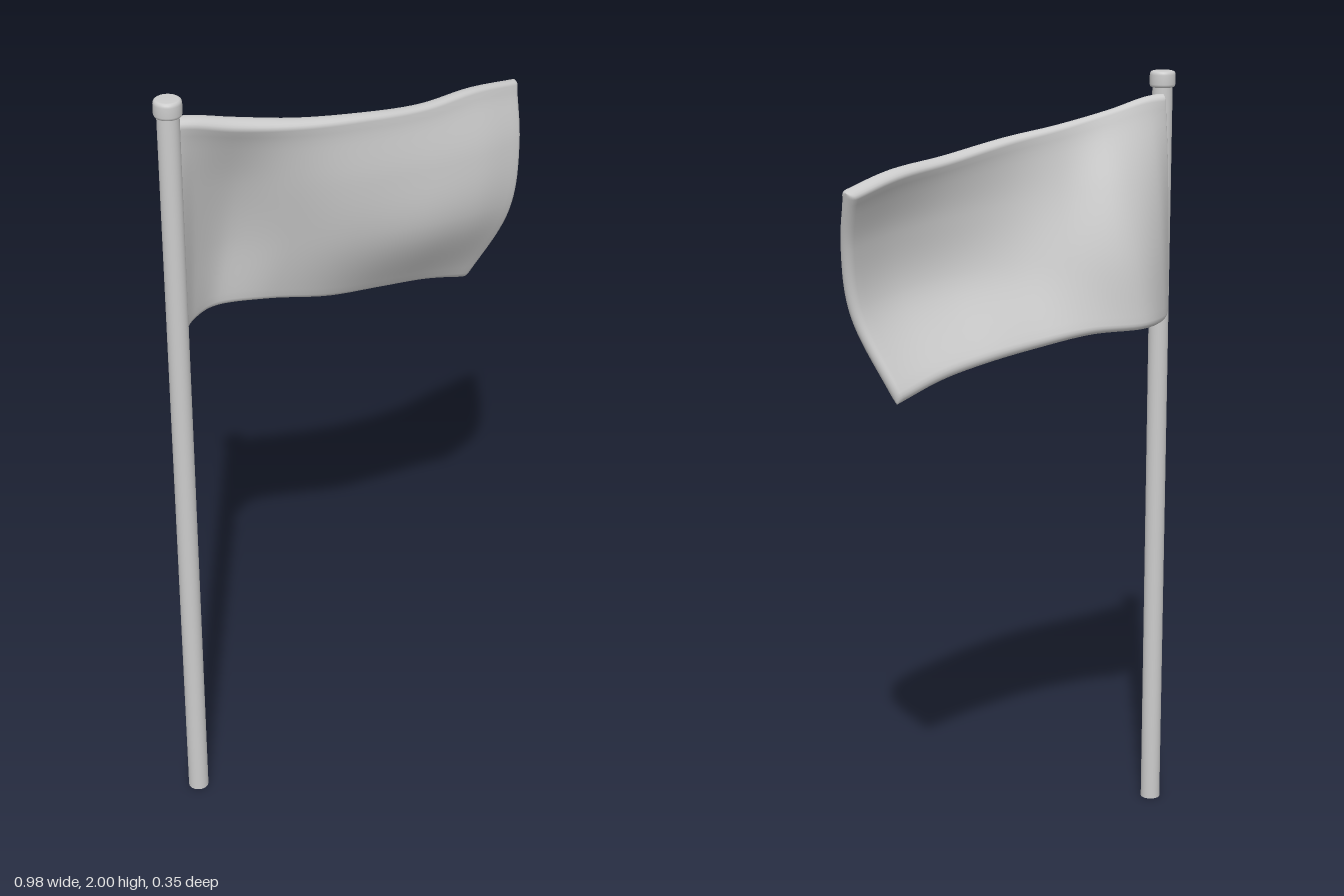
import * as THREE from 'three';
import { mergeVertices } from 'three/addons/utils/BufferGeometryUtils.js';

const material = new THREE.MeshStandardMaterial({ color: 0xcccccc });
const POLE_X = -0.46, POLE_Z = 0.148;
const HALF = 0.018; // half thickness of the cloth

// Rows of the cloth from top to bottom; each point is [x, y, z], pole to free end
const rows = [
  [[-0.455, 1.945, 0.132], [-0.4, 1.938, 0.128], [-0.3, 1.912, 0.117], [-0.15, 1.883, 0.096],
    [0, 1.862, 0.065], [0.18, 1.833, 0], [0.34, 1.818, -0.085], [0.485, 1.785, -0.168]],
  [[-0.455, 1.75, 0.125], [-0.4, 1.745, 0.08], [-0.3, 1.73, 0.045], [-0.15, 1.71, 0.068],
    [0, 1.695, 0.072], [0.18, 1.68, 0.033], [0.34, 1.665, -0.03], [0.477, 1.645, -0.11]],
  [[-0.455, 1.56, 0.12], [-0.4, 1.56, 0.05], [-0.31, 1.555, 0.003], [-0.16, 1.545, 0.03],
    [-0.01, 1.535, 0.05], [0.16, 1.52, 0.033], [0.31, 1.505, -0.015], [0.452, 1.48, -0.09]],
  [[-0.455, 1.368, 0.118], [-0.41, 1.368, 0.045], [-0.34, 1.368, -0.01], [-0.2, 1.366, -0.014],
    [-0.05, 1.345, -0.022], [0.1, 1.327, -0.06], [0.23, 1.305, -0.1], [0.36, 1.265, -0.143]],
].map(row => new THREE.CatmullRomCurve3(row.map(p => new THREE.Vector3(...p))));

const clamp = t => Math.min(1, Math.max(0, t));

function clothPoint(u, v) {
  const column = new THREE.CatmullRomCurve3(rows.map(row => row.getPoint(clamp(u))));
  return column.getPoint(clamp(v));
}

function clothNormal(u, v) {
  const e = 0.01;
  const du = clothPoint(u + e, v).sub(clothPoint(u - e, v));
  const dv = clothPoint(u, v + e).sub(clothPoint(u, v - e));
  return dv.cross(du).normalize();
}

// Parameters from 0 to 1, packed towards both ends so the hems come out round
function stations(count, rim) {
  const edge = [0, 0.3, 0.6, 0.9, 1.2, Math.PI / 2].map(a => rim * (1 - Math.cos(a)));
  const list = [...edge];
  for (let i = 1; i < count; i++) list.push(rim + (1 - 2 * rim) * i / count);
  return list.concat(edge.map(t => 1 - t).reverse());
}

// Circular falloff of the thickness within the rim
function roundness(t, rim) {
  const k = Math.min(1, Math.min(t, 1 - t) / rim);
  return Math.sqrt(Math.max(0, 1 - (1 - k) ** 2));
}

// Closed cloth: front and back sheets that meet along the rounded border
function clothGeometry() {
  const rimU = HALF, rimV = HALF / 0.55;
  const us = stations(48, rimU), vs = stations(28, rimV);
  const positions = [], index = [];
  for (const side of [1, -1]) {
    const base = positions.length / 3;
    us.forEach((u, i) => vs.forEach((v, j) => {
      const hem = 1 + 0.25 * Math.exp(-((v / 0.06) ** 2)); // fuller top hem
      const h = side * HALF * hem * roundness(u, rimU) * roundness(v, rimV);
      positions.push(...clothPoint(u, v).addScaledVector(clothNormal(u, v), h).toArray());
      if (i === 0 || j === 0) return;
      const d = base + i * vs.length + j, c = d - vs.length, b = d - 1, a = c - 1;
      if (side > 0) index.push(a, c, b, b, c, d);
      else index.push(a, b, c, b, d, c);
    }));
  }
  let geometry = new THREE.BufferGeometry();
  geometry.setAttribute('position', new THREE.Float32BufferAttribute(positions, 3));
  geometry.setIndex(index);
  geometry = mergeVertices(geometry, 1e-5);
  geometry.computeVertexNormals();
  return geometry;
}

export function createModel() {
  const model = new THREE.Group();
  model.name = 'flagOnPole';
  const add = (name, geometry) => {
    const mesh = new THREE.Mesh(geometry, material);
    mesh.name = name;
    model.add(mesh);
    return mesh;
  };

  // Pole
  add('pole', new THREE.CylinderGeometry(0.026, 0.026, 1.97, 32)).position.set(POLE_X, 0.985, POLE_Z);

  // Cap with softened rims
  const cap = [[0, 1.958], [0.026, 1.958], [0.031, 1.96], [0.033, 1.966], [0.033, 1.99],
    [0.0315, 1.996], [0.028, 1.999], [0.024, 2], [0, 2]];
  add('poleCap', new THREE.LatheGeometry(cap.map(p => new THREE.Vector2(...p)), 32))
    .position.set(POLE_X, 0, POLE_Z);

  // Waving cloth
  add('flagCloth', clothGeometry());
  return model;
}
